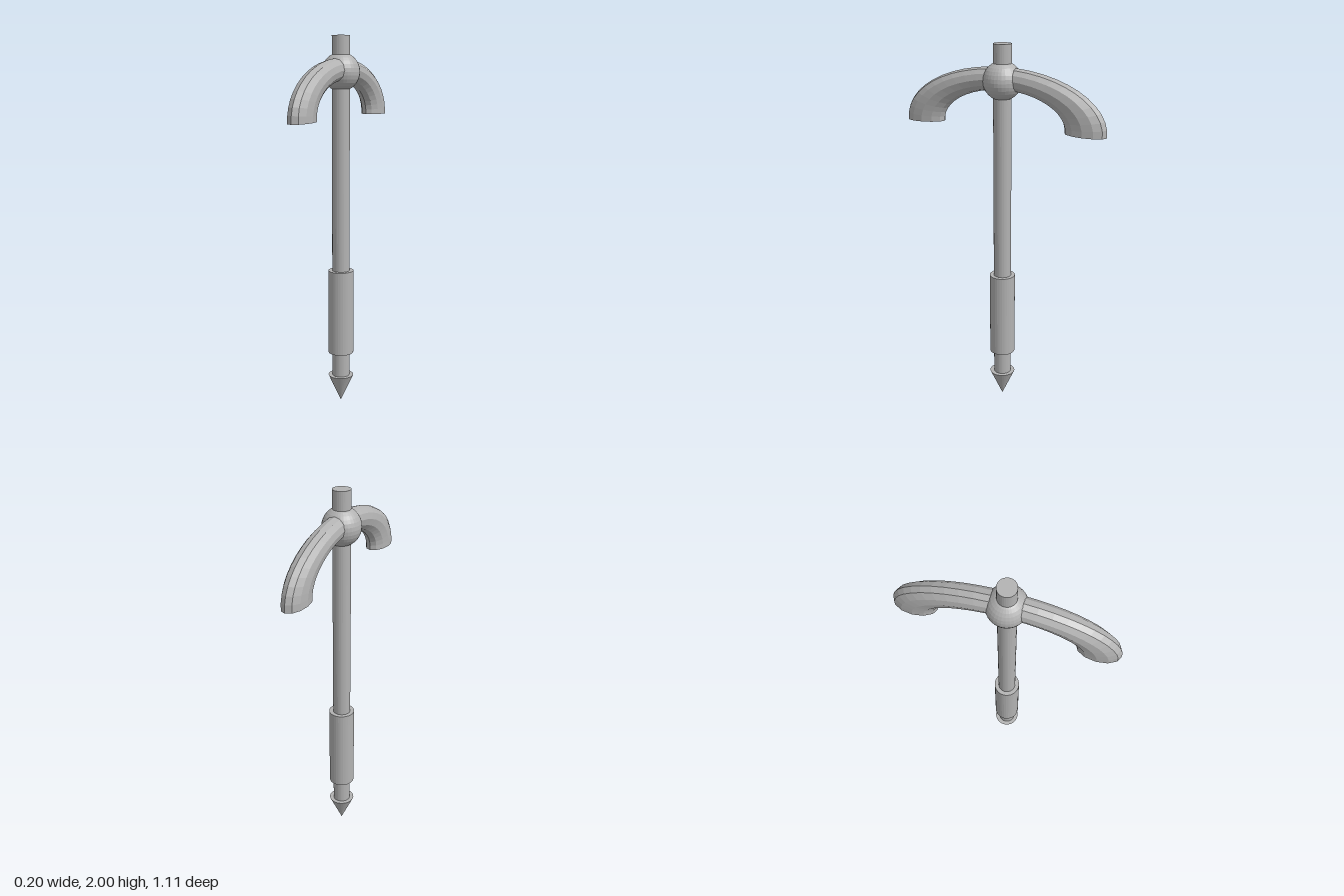
import * as THREE from 'three';

export function createModel() {
  const model = new THREE.Group();
  const steel = new THREE.MeshStandardMaterial({ color: 0xb2b2b2, flatShading: true });
  steel.name = 'steelGrey';

  const add = (name, geometry, parent = model) => {
    const mesh = new THREE.Mesh(geometry, steel);
    mesh.name = name;
    parent.add(mesh);
    return mesh;
  };
  // Upright cylinder or cone between two heights
  const column = (name, rTop, rBottom, y0, y1) => {
    const g = new THREE.CylinderGeometry(rTop, rBottom, y1 - y0, 32);
    add(name, g).position.set(0, (y0 + y1) / 2, 0.003);
  };

  column('shaft', 0.047, 0.047, 0.12, 2);
  column('grip', 0.069, 0.069, 0.285, 0.752);
  column('spike', 0.069, 0, 0, 0.152);

  // Ball joint where the head meets the shaft
  add('hub', new THREE.SphereGeometry(0.1, 32, 16)).position.set(0, 1.815, 0.003);

  // Curved double head: a squashed half ring running front to back
  const R = 0.447, r = 0.11, extra = 0.05;
  const head = new THREE.Group();
  head.name = 'curvedHead';
  add('headArc', new THREE.TorusGeometry(R, r, 12, 24, Math.PI + 2 * extra).rotateZ(-extra), head);
  const endCap = () => new THREE.CircleGeometry(r, 12)
    .rotateX(Math.PI / 2).translate(R, 0, 0).rotateZ(-extra);
  add('frontEndCap', endCap(), head);
  add('backEndCap', endCap().rotateY(Math.PI), head);
  head.rotation.y = -Math.PI / 2;
  head.scale.set(1, 0.53, 0.53);
  head.position.y = 1.59;
  model.add(head);

  return model;
}
